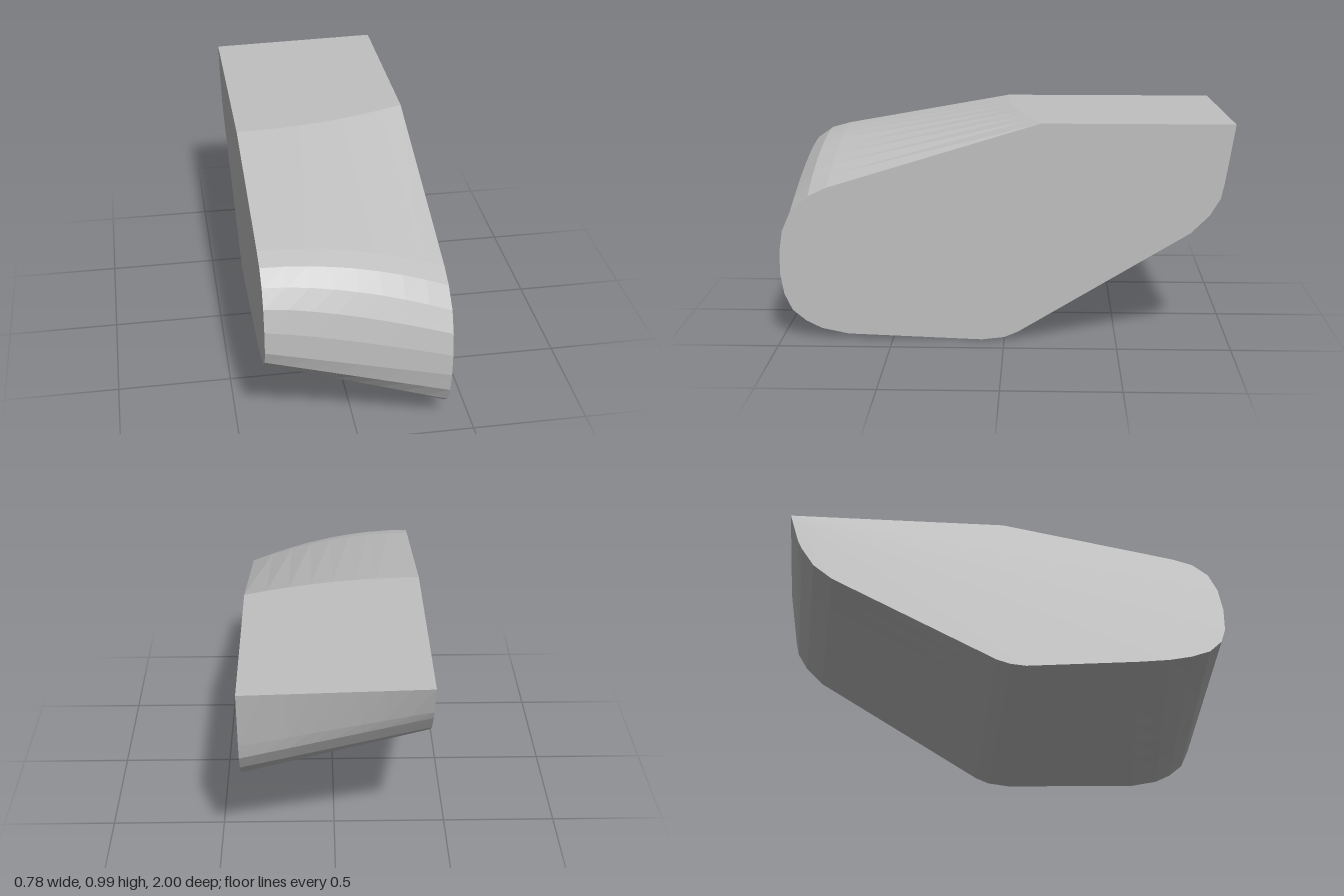
import * as THREE from 'three';

// Outline stations, counterclockwise from the upper back corner:
// [z, y on the left end, z, y on the right end, easing power across the width]
const outline = [
  [-1, 0.99, -0.965, 0.99, 1],
  [-0.16, 0.99, 0, 0.99, 2],
  [0.78, 0.70, 0.78, 0.85, 2],
  [0.865, 0.66, 0.87, 0.825, 2],
  [0.945, 0.59, 0.94, 0.775, 1.7],
  [0.985, 0.50, 0.98, 0.70, 1.4],
  [1, 0.40, 1, 0.60, 1.2],
  [1, 0.30, 1, 0.50, 1],
  [0.985, 0.21, 0.98, 0.44, 1],
  [0.95, 0.135, 0.925, 0.39, 1],
  [0.89, 0.085, 0.84, 0.36, 1],
  [0.82, 0.05, 0.74, 0.34, 1],
  [0.70, 0.025, 0.60, 0.325, 1],
  [0.10, 0.003, 0.10, 0.285, 1],
  [0, 0.015, 0.03, 0.292, 1],
  [-0.06, 0.04, -0.03, 0.31, 1],
  [-0.82, 0.505, -0.767, 0.676, 1],
  [-0.90, 0.585, -0.85, 0.74, 1],
  [-0.945, 0.66, -0.905, 0.82, 1],
  [-0.96, 0.73, -0.925, 0.86, 1],
];
const HALF_WIDTH = 0.39;
const SEGMENTS = 8;

// Cross-section at t = 0 (right end) to t = 1 (left end)
function section(t) {
  const x = HALF_WIDTH * (2 * t - 1);
  return outline.map(([zl, yl, zr, yr, power]) => {
    const k = Math.pow(t, power);
    return [x, yr + (yl - yr) * k, zr + (zl - zr) * k];
  });
}

// Separate triangles give flat facets
function facets(triangles) {
  const geometry = new THREE.BufferGeometry();
  geometry.setAttribute('position', new THREE.Float32BufferAttribute(triangles.flat(2), 3));
  geometry.computeVertexNormals();
  return geometry;
}

export function createModel() {
  const group = new THREE.Group();
  group.name = 'wedgeBlock';
  const grey = new THREE.MeshStandardMaterial({ color: 0xc0c0c0 });
  grey.name = 'grey';
  const add = (name, triangles) => {
    const mesh = new THREE.Mesh(facets(triangles), grey);
    mesh.name = name;
    group.add(mesh);
  };

  const rings = Array.from({ length: SEGMENTS + 1 }, (_, i) => section(i / SEGMENTS));
  const n = outline.length;

  // Curved skin running across the width
  const skin = [];
  for (let s = 0; s < SEGMENTS; s++) {
    const a = rings[s], b = rings[s + 1];
    for (let i = 0; i < n; i++) {
      const j = (i + 1) % n;
      skin.push([a[i], a[j], b[i]], [a[j], b[j], b[i]]);
    }
  }
  add('outerSkin', skin);

  // Flat end faces, as fans from the upper back corner
  const left = [], right = [];
  for (let i = 1; i < n - 1; i++) {
    left.push([rings[SEGMENTS][0], rings[SEGMENTS][i], rings[SEGMENTS][i + 1]]);
    right.push([rings[0][0], rings[0][i + 1], rings[0][i]]);
  }
  add('leftEnd', left);
  add('rightEnd', right);

  return group;
}
